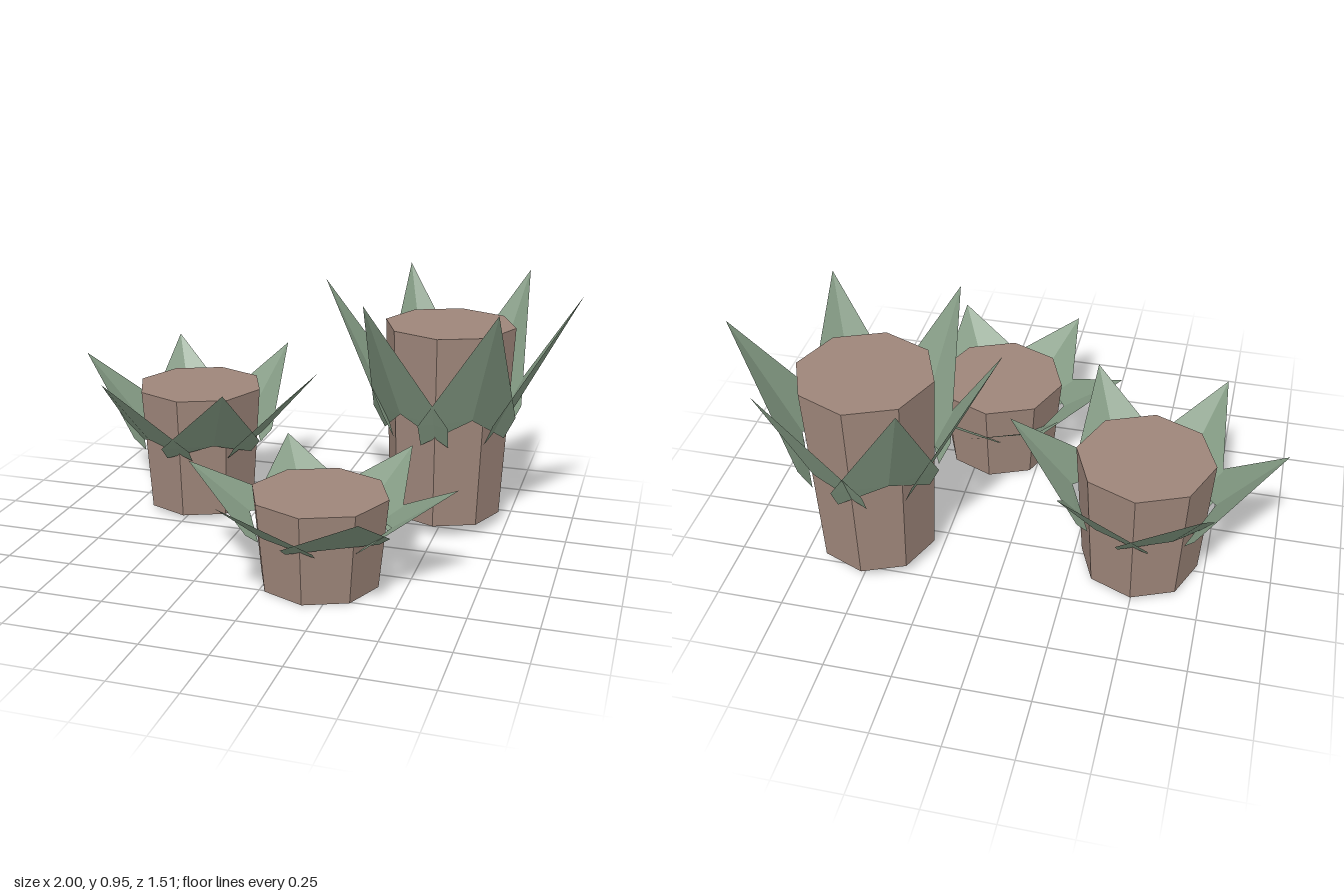
import * as THREE from 'three';

const brown = new THREE.MeshStandardMaterial({ color: 0x9e867a, flatShading: true });
brown.name = 'stump brown';
const green = new THREE.MeshStandardMaterial({ color: 0x859c85, flatShading: true, side: THREE.DoubleSide });
green.name = 'leaf green';

// Creased leaf pointing along +x: tip, two shoulders, two lower corners, keel foot
function leafGeometry(tipRadius, low, height) {
  const y = (f) => low + height * f;
  const tip = [tipRadius, y(1), 0];
  const foot = [0.265, y(0.2), 0];
  const points = [];
  for (const s of [1, -1]) {
    const shoulder = [0.212, y(0.16), 0.198 * s];
    const corner = [0.175, y(0), 0.17 * s];
    const tris = s > 0
      ? [tip, foot, shoulder, shoulder, foot, corner]
      : [tip, shoulder, foot, shoulder, corner, foot];
    points.push(...tris.flat());
  }
  const g = new THREE.BufferGeometry();
  g.setAttribute('position', new THREE.Float32BufferAttribute(points, 3));
  g.computeVertexNormals();
  return g;
}

// Tapered eight-sided stump with a ring of six leaves
function plant({ name, x, z, base, top, leafLow, leafTop }) {
  const group = new THREE.Group();
  group.name = name;
  group.position.set(x, 0, z);

  const stump = new THREE.Mesh(new THREE.CylinderGeometry(0.255, 0.222, top - base, 8), brown);
  stump.name = 'stump';
  stump.position.y = (base + top) / 2;
  group.add(stump);

  for (const angle of [0, 58.5, 121.5, 180, 238.5, 301.5]) {
    const radius = angle % 180 === 0 ? 0.5 : 0.472;
    const leaf = new THREE.Mesh(leafGeometry(radius, leafLow, leafTop - leafLow), green);
    leaf.name = 'leaf';
    leaf.rotation.y = THREE.MathUtils.degToRad(angle);
    group.add(leaf);
  }
  return group;
}

export function createModel() {
  const model = new THREE.Group();
  model.name = 'stumpPlants';
  model.add(
    plant({ name: 'mediumPlant', x: -0.5, z: -0.238, base: 0.02, top: 0.51, leafLow: 0.265, leafTop: 0.6 }),
    plant({ name: 'tallPlant', x: 0.497, z: -0.355, base: 0.05, top: 0.81, leafLow: 0.385, leafTop: 0.953 }),
    plant({ name: 'shortPlant', x: 0.18, z: 0.35, base: 0, top: 0.34, leafLow: 0.193, leafTop: 0.405 }),
  );
  return model;
}
